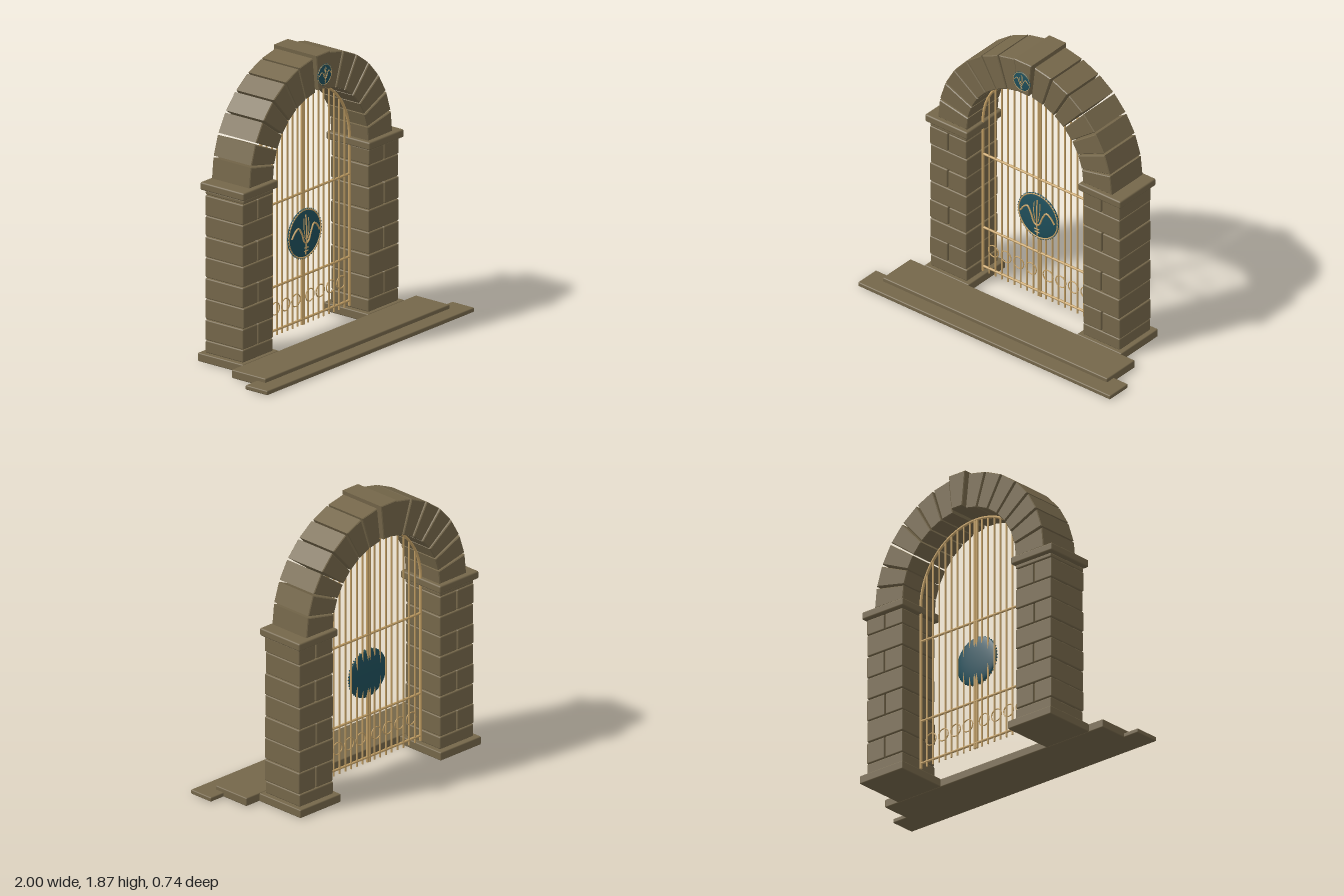
import * as THREE from 'three';
import { RoundedBoxGeometry } from 'three/addons/geometries/RoundedBoxGeometry.js';

const mat = (name, color, side = THREE.FrontSide) => {
  const m = new THREE.MeshStandardMaterial({ color, side });
  m.name = name;
  return m;
};

export function createModel() {
  const stone = mat('stone', 0x75674a);
  const gold = mat('gold', 0xc8a468);
  const teal = mat('teal', 0x1f4f5b);

  const root = new THREE.Group();
  root.name = 'archedGate';
  const group = (name, parent = root) => {
    const g = new THREE.Group();
    g.name = name;
    parent.add(g);
    return g;
  };
  const add = (parent, name, geo, m, x = 0, y = 0, z = 0) => {
    const mesh = new THREE.Mesh(geo, m);
    mesh.name = name;
    mesh.position.set(x, y, z);
    parent.add(mesh);
    return mesh;
  };
  // Soft-edged stone block given by its limits
  const block = (parent, name, x0, x1, y0, y1, z0, z1, r = 0.007) => add(parent, name,
    new RoundedBoxGeometry(x1 - x0, y1 - y0, z1 - z0, 2, r), stone,
    (x0 + x1) / 2, (y0 + y1) / 2, (z0 + z1) / 2);
  // Round bar between two points
  const bar = (parent, name, a, b, r) => {
    const p = new THREE.Vector3(...a), q = new THREE.Vector3(...b);
    const mesh = add(parent, name, new THREE.CylinderGeometry(r, r, p.distanceTo(q), 8), gold);
    mesh.position.copy(p).add(q).multiplyScalar(0.5);
    mesh.quaternion.setFromUnitVectors(new THREE.Vector3(0, 1, 0), q.sub(p).normalize());
    return mesh;
  };
  // Bevelled stone with a polygonal front
  const wedge = (parent, name, pts, z0, z1) => {
    const b = 0.005;
    const geo = new THREE.ExtrudeGeometry(new THREE.Shape(pts.map(p => new THREE.Vector2(...p))), {
      depth: z1 - z0 - 2 * b, bevelEnabled: true, bevelSize: b, bevelOffset: -b,
      bevelThickness: b, bevelSegments: 1,
    });
    return add(parent, name, geo, stone, 0, 0, z0 + b);
  };

  // Steps
  const steps = group('steps');
  block(steps, 'lowerStep', -1, 1, 0, 0.029, 0.19, 0.365);
  block(steps, 'upperStep', -0.89, 0.89, 0, 0.055, -0.01, 0.26);

  // Pillars: whole courses alternate with split ones
  const BACK = -0.333, FRONT = -0.03;
  for (const [side, pitch, name] of [[1, 0.145, 'leftPillar'], [-1, 0.135, 'rightPillar']]) {
    const pillar = group(name);
    const span = (part, a, b, ...rest) => side > 0
      ? block(pillar, part, a, b, ...rest) : block(pillar, part, -b, -a, ...rest);
    span('plinth', 0.43, 0.78, 0, 0.055, -0.37, -0.01);
    span('capital', 0.44, 0.775, 1.116, 1.167, -0.355, -0.008, 0.01);
    let y = 0.055, top = 0.14;
    for (let i = 0; y < 1.11; i++) {
      const y1 = Math.min(top, 1.116) - 0.004;
      const r = Math.min(0.008, (y1 - y) * 0.4);
      const j = 0.003 * (i % 3 - 1);
      if (i % 2) {
        span('halfBlock', 0.464, 0.605 + j, y, y1, BACK, FRONT, r);
        span('halfBlock', 0.613 + j, 0.754, y, y1, BACK, FRONT, r);
      } else {
        span('courseBlock', 0.461, 0.75, y, y1, BACK - 0.001, FRONT + j, r);
      }
      y = y1 + 0.004;
      top += pitch;
    }
  }

  // Arch of fifteen stones, the middle one being the keystone
  const CY = 1.167, RIN = 0.46, ROUT = 0.69;
  const arch = group('arch');
  for (let i = 0; i < 15; i++) {
    if (i === 7) continue;
    const a = THREE.MathUtils.degToRad(i * 12 + 0.55);
    const b = THREE.MathUtils.degToRad(i * 12 + 11.45);
    const at = (r, t) => [r * Math.cos(t), CY + r * Math.sin(t)];
    wedge(arch, 'archStone', [at(RIN, a), at(ROUT, a), at(ROUT, b), at(RIN, b)], BACK, FRONT);
  }
  wedge(arch, 'keystone', [[-0.044, 1.64], [0.044, 1.64], [0.067, 1.87], [-0.067, 1.87]], -0.355, -0.01);

  // Gate frame
  const GZ = -0.175, GR = 0.45, BOTTOM = 0.07;
  const gate = group('gate');
  add(gate, 'frameArch', new THREE.TorusGeometry(GR, 0.009, 8, 48, Math.PI), gold, 0, CY, GZ);
  for (const s of [-1, 1]) {
    bar(gate, 'frameSide', [s * GR, BOTTOM, GZ], [s * GR, CY, GZ], 0.009);
    bar(gate, 'centreStile', [s * 0.0085, BOTTOM, GZ], [s * 0.0085, CY + GR, GZ], 0.008);
    // Upright bars reach up to the frame arch
    for (let k = 1; k <= 8; k++) {
      const x = s * k * 0.05;
      bar(gate, 'uprightBar', [x, BOTTOM, GZ], [x, CY + Math.sqrt(GR * GR - x * x), GZ], 0.006);
    }
    // Row of rings between the lower rails
    for (const x of [0.067, 0.167, 0.267, 0.367])
      add(gate, 'ring', new THREE.TorusGeometry(0.04, 0.004, 6, 24), gold, s * x, 0.245, GZ);
  }
  for (const y of [0.105, 0.39, 0.93]) bar(gate, 'rail', [-GR, y, GZ], [GR, y, GZ], 0.008);

  // Domed medallion with beaded rim and a wave ornament
  const medallion = (name, y, z, scale) => {
    const g = group(name);
    g.position.set(0, y, z);
    g.scale.setScalar(scale);
    const disc = add(g, 'disc', new THREE.SphereGeometry(0.16, 40, 20), teal);
    disc.scale.z = 0.12;
    add(g, 'rim', new THREE.TorusGeometry(0.154, 0.005, 6, 48), gold, 0, 0, 0.007);
    const bead = new THREE.SphereGeometry(0.005, 6, 4);
    for (let i = 0; i < 48; i++) {
      const t = i / 48 * Math.PI * 2;
      add(g, 'bead', bead, teal, 0.159 * Math.cos(t), 0.159 * Math.sin(t), 0.007);
    }
    const line = (part, pts, r) => add(g, part, new THREE.TubeGeometry(
      new THREE.CatmullRomCurve3(pts.map(([x, v]) =>
        new THREE.Vector3(x, v, 0.12 * Math.sqrt(0.0256 - x * x - v * v) + 0.003))), 32, r, 6), gold);
    for (const s of [-1, 1]) {
      line('wave', [[-0.134, -0.005], [-0.105, 0.035], [-0.075, 0.052], [-0.045, 0.01],
        [-0.022, -0.045], [0, -0.06]].map(([x, v]) => [s * x, v]), 0.006);
      line('innerStem', [[s * 0.022, 0.105], [s * 0.024, 0.04], [s * 0.012, -0.03]], 0.003);
    }
    line('stem', [[0, 0.125], [0, 0], [0, -0.135]], 0.005);
    for (const v of [-0.09, -0.112]) line('crossbar', [[-0.02, v], [0, v], [0.02, v]], 0.004);
  };
  medallion('gateMedallion', 0.665, GZ + 0.008, 1);
  medallion('keystoneMedallion', 1.735, -0.004, 0.42);

  return root;
}
